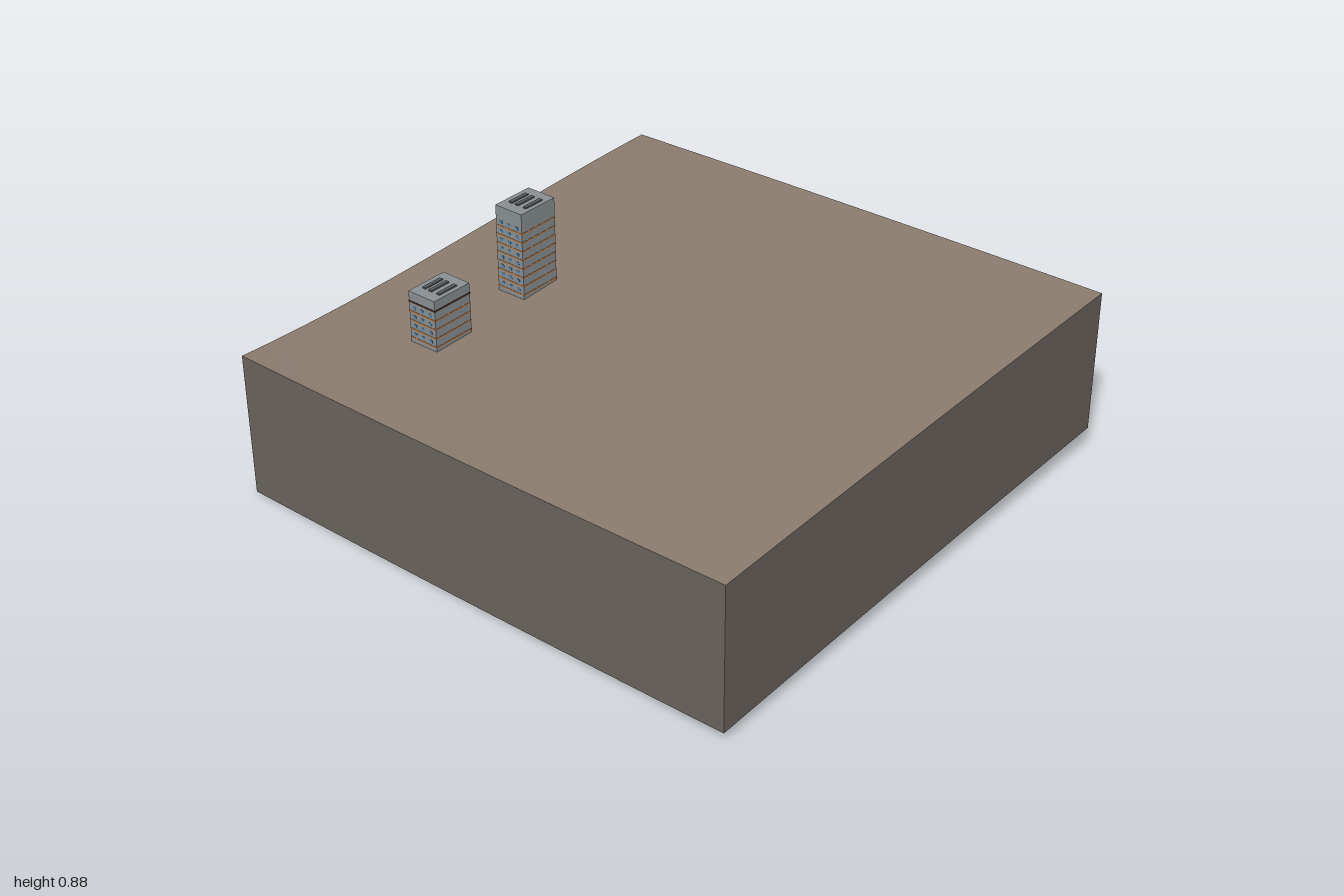
import * as THREE from 'three';

const mat = (name, color, side = THREE.FrontSide) => {
  const m = new THREE.MeshStandardMaterial({ color, side });
  m.name = name;
  return m;
};

// Ground height: blend of front and back edge curves plus a gentle valley on the right-hand side
function groundHeight(x, z) {
  const front = 0.545 + 0.0125 * x + 0.0075 * x * x;
  const back = 0.608 + 0.0165 * x - 0.0045 * x * x;
  const valley = -(1 - z * z) * (0.015 + 0.022 * z);
  const rise = 0.005 * (1 - z * z);
  return THREE.MathUtils.lerp(back, front, (z + 1) / 2) + THREE.MathUtils.lerp(valley, rise, (x + 1) / 2);
}

export function createModel() {
  const root = new THREE.Group();
  const ground = mat('ground brown', 0x8b7d6f, THREE.DoubleSide);
  const earth = mat('earth wall', 0x6b645e, THREE.DoubleSide);
  const concrete = mat('concrete grey', 0x8a9094);
  const orange = mat('orange band', 0xc47a3a);
  const rust = mat('dark band', 0x4a3226);
  const glass = mat('window blue', 0x4f86b0);
  const vent = mat('roof vent', 0x56595b);

  // Gently sloping terrain
  const N = 32;
  const top = new THREE.PlaneGeometry(2, 2, N, N).rotateX(-Math.PI / 2);
  const p = top.attributes.position;
  for (let i = 0; i < p.count; i++) p.setY(i, groundHeight(p.getX(i), p.getZ(i)));
  top.computeVertexNormals();
  const terrain = new THREE.Mesh(top, ground);
  terrain.name = 'terrain';
  root.add(terrain);

  // Four skirt walls of constant height following the terrain rim, open below
  const sides = {
    frontWall: t => [t, 1], rightHandWall: t => [1, -t],
    backWall: t => [-t, -1], leftHandWall: t => [-1, t],
  };
  for (const [name, at] of Object.entries(sides)) {
    const g = new THREE.PlaneGeometry(2, 1, N, 1);
    const q = g.attributes.position;
    for (let i = 0; i < q.count; i++) {
      const [x, z] = at(q.getX(i));
      q.setXYZ(i, x, groundHeight(x, z) - (q.getY(i) < 0 ? 0.53 : 0), z);
    }
    g.computeVertexNormals();
    const wall = new THREE.Mesh(g, earth);
    wall.name = name;
    root.add(wall);
  }

  // Block building with floor bands, window rows and roof vents
  const W = 0.116, D = 0.162;
  function building(name, z, roof, darkBandY) {
    const x = -0.588;
    const b = new THREE.Group();
    b.name = name;
    b.position.set(x, 0, z);
    const box = (part, w, h, d, px, py, pz, m) => {
      const mesh = new THREE.Mesh(new THREE.BoxGeometry(w, h, d), m);
      mesh.name = part;
      mesh.position.set(px, py, pz);
      b.add(mesh);
    };
    const base = groundHeight(x, z) - 0.012;
    box('body', W, roof - base, D, 0, (roof + base) / 2, 0, concrete);

    // Thin bands on every floor, with windows between them on front and back
    for (let y = roof - 0.073; y > base + 0.02; y -= 0.033) {
      box('floorBand', W + 0.002, 0.005, D + 0.002, 0, y, 0, orange);
      for (const s of [-1, 1])
        for (const wx of [-0.035, 0, 0.035])
          box('window', 0.012, 0.01, 0.002, wx, y + 0.016, s * D / 2, glass);
    }
    if (darkBandY) box('darkBand', W + 0.003, 0.006, D + 0.003, 0, darkBandY, 0, rust);

    // Roof vents
    for (const vx of [-0.028, 0, 0.035])
      box('roofVent', 0.014, 0.006, 0.08, vx, roof + 0.002, 0, vent);
    root.add(b);
  }
  building('lowBuilding', 0.5, 0.727, 0.69);
  building('tallBuilding', 0.083, 0.872);

  return root;
}
